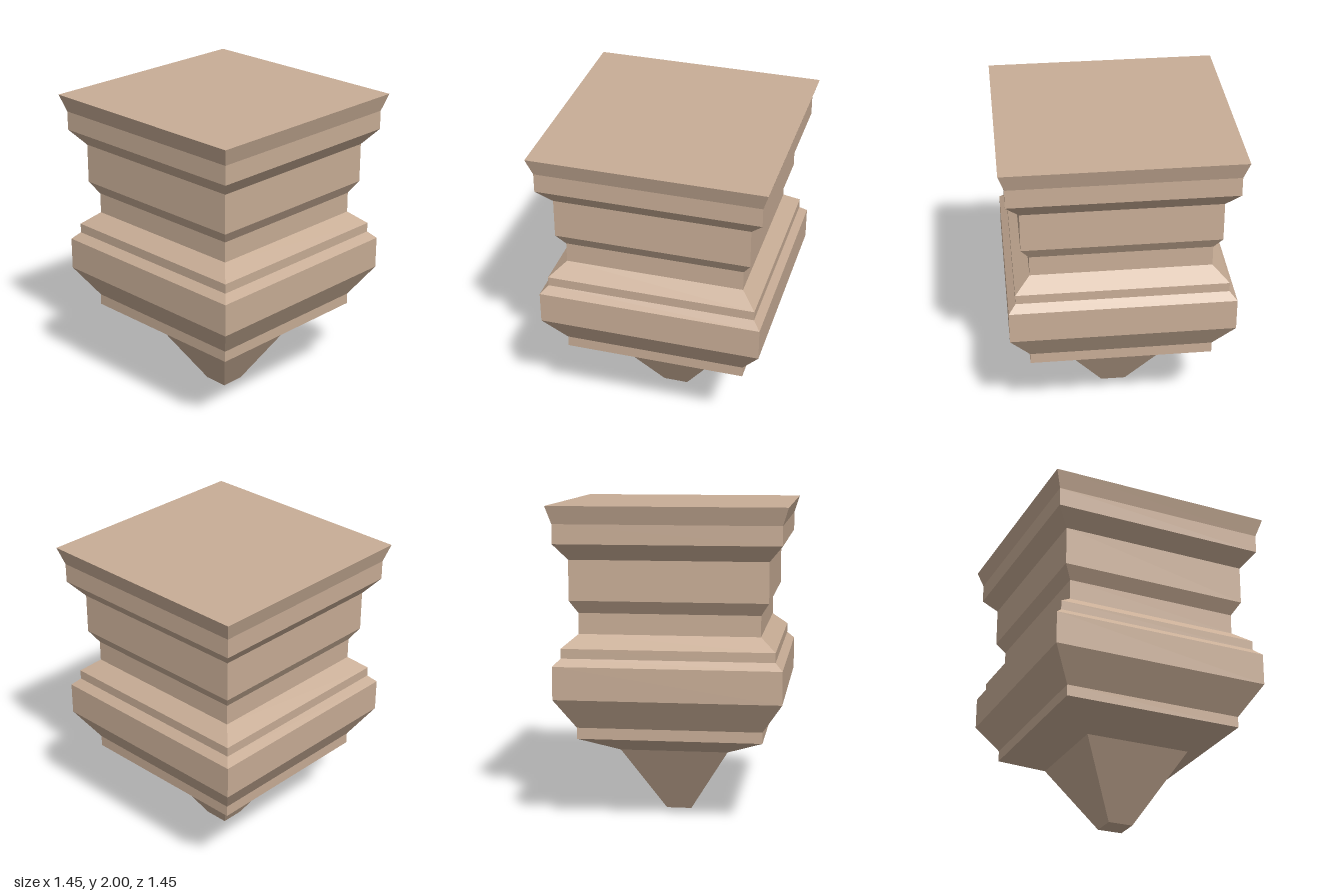
import * as THREE from 'three';

// Square moulding: a four-sided lathe turned so its faces look along x and z.
// Each profile point is [half width, height], listed from bottom to top.
function squareMoulding(name, profile, material) {
  const points = profile.map(([w, y]) => new THREE.Vector2(w * Math.SQRT2, y));
  const mesh = new THREE.Mesh(new THREE.LatheGeometry(points, 4, Math.PI / 4), material);
  mesh.name = name;
  return mesh;
}

export function createModel() {
  const group = new THREE.Group();
  group.name = 'squareCorbel';
  const stone = new THREE.MeshStandardMaterial({ color: 0xc8ad96, flatShading: true });

  const parts = {
    // Tapered tip with a small flat end
    pendantTip: [[0, 0], [0.08, 0], [0.34, 0.44], [0.575, 0.555]],
    // Wide belly with a stepped top
    belly: [[0.575, 0.555], [0.575, 0.625], [0.7, 0.82], [0.7, 1.025],
      [0.655, 1.07], [0.655, 1.13], [0.56, 1.21]],
    // Narrow neck widening to the upper block
    neck: [[0.56, 1.21], [0.56, 1.34], [0.61, 1.42]],
    upperBlock: [[0.61, 1.42], [0.61, 1.67]],
    // Flared cornice closed by the flat top
    cornice: [[0.61, 1.67], [0.692, 1.77], [0.692, 1.89], [0.727, 2], [0, 2]],
  };
  for (const [name, profile] of Object.entries(parts)) {
    group.add(squareMoulding(name, profile, stone));
  }
  return group;
}
